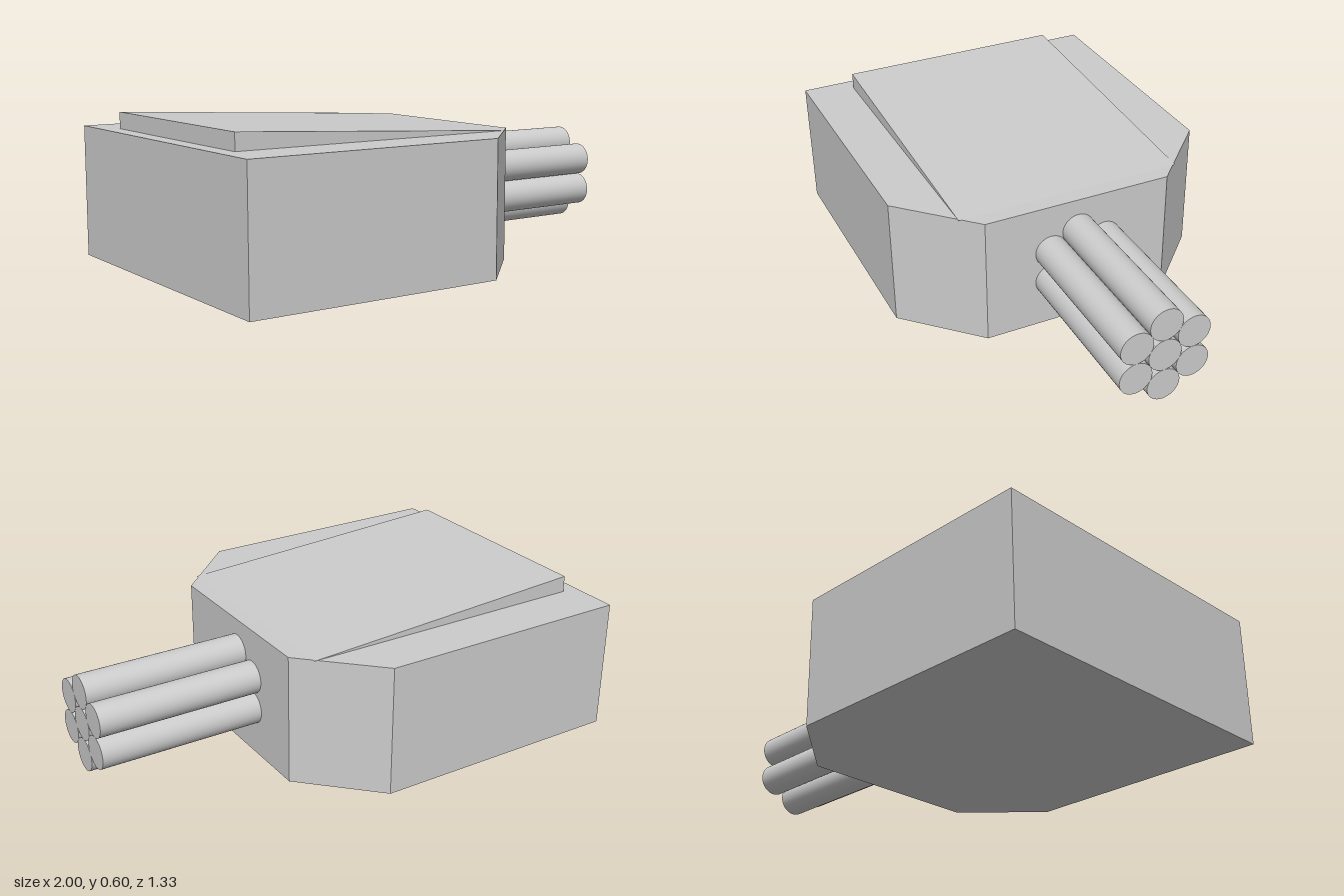
import * as THREE from 'three';

const material = new THREE.MeshStandardMaterial({ color: 0xcccccc });

function prism(points, depth) {
  const shape = new THREE.Shape(points.map(([x, y]) => new THREE.Vector2(x, y)));
  return new THREE.ExtrudeGeometry(shape, { depth, bevelEnabled: false });
}

export function createModel() {
  const model = new THREE.Group();
  const add = (geometry, name, parent = model) => {
    const mesh = new THREE.Mesh(geometry, material);
    mesh.name = name;
    parent.add(mesh);
    return mesh;
  };

  // Housing: rectangular plan with two chamfered corners at the barrel end
  const plan = [
    [-1, -0.667], [0.053, -0.667], [0.333, -0.39],
    [0.333, 0.39], [0.053, 0.667], [-1, 0.667],
  ];
  add(prism(plan, 0.533).rotateX(-Math.PI / 2), 'housing');

  // Roof plate: a shallow wedge tapering toward the barrels
  const wedge = [[-0.933, 0.533], [0.267, 0.533], [-0.933, 0.6]];
  add(prism(wedge, 0.934).translate(0, 0, -0.467), 'roofPlate');

  // Barrel cluster: one in the middle and six touching around it
  const barrels = new THREE.Group();
  barrels.name = 'barrelCluster';
  barrels.position.set(0.6665, 0.267, 0);
  model.add(barrels);
  const radius = 0.0667;
  const barrel = new THREE.CylinderGeometry(radius, radius, 0.667, 40).rotateZ(-Math.PI / 2);
  add(barrel, 'centreBarrel', barrels);
  for (let i = 0; i < 6; i++) {
    const a = (i * Math.PI) / 3;
    add(barrel, 'outerBarrel', barrels)
      .position.set(0, 2 * radius * Math.cos(a), 2 * radius * Math.sin(a));
  }

  return model;
}
